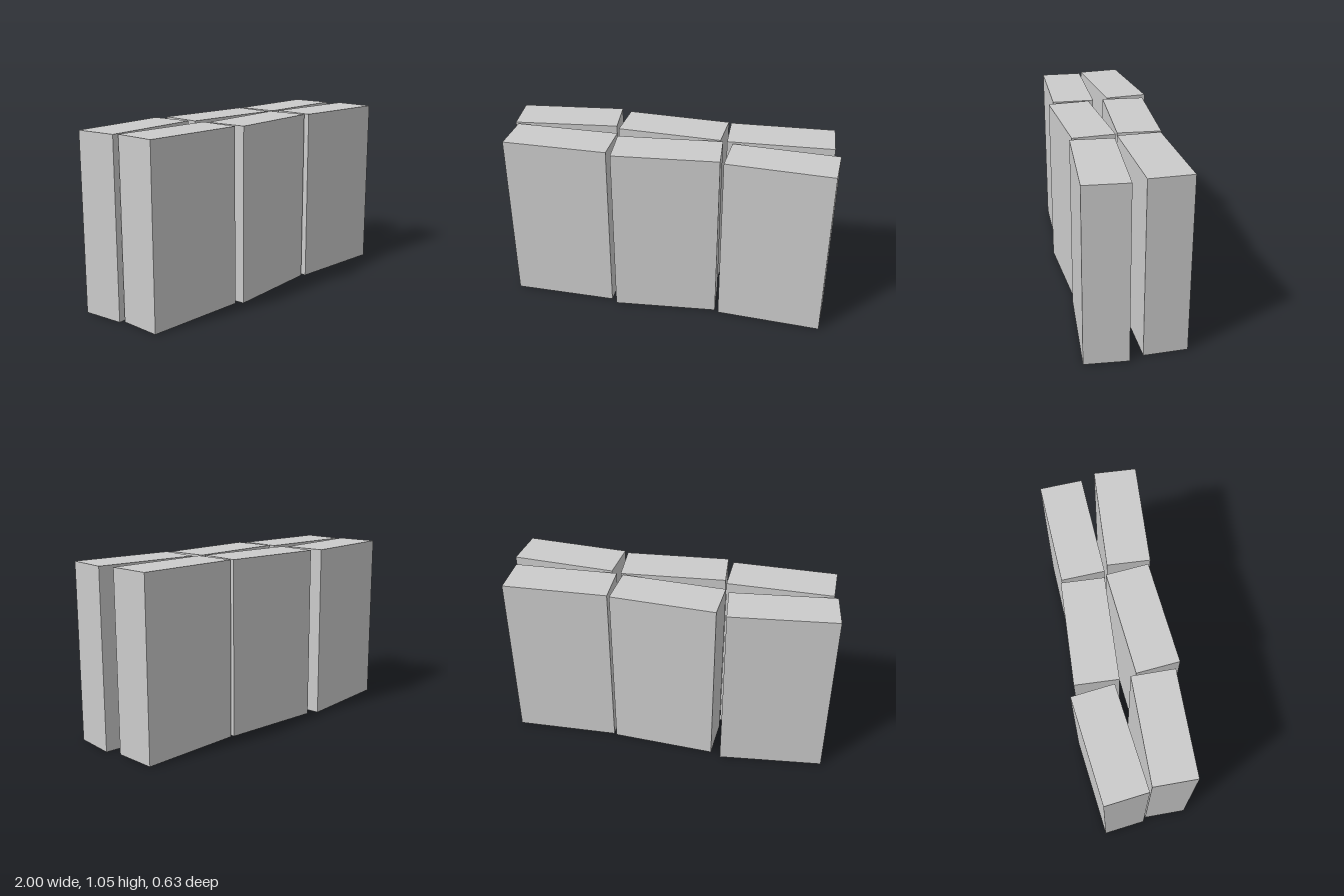
import * as THREE from 'three';

const WIDTH = 0.626, HEIGHT = 1.055, DEPTH = 0.255;

// Two rows of upright blocks, each turned slightly: [name, x, z, turn about y]
const BLOCKS = [
  ['backRightBlock', -0.674, -0.152, 0.124],
  ['backMiddleBlock', -0.009, -0.149, -0.038],
  ['backLeftBlock', 0.644, -0.147, 0.054],
  ['frontRightBlock', -0.632, 0.157, 0],
  ['frontMiddleBlock', 0.016, 0.159, 0.098],
  ['frontLeftBlock', 0.681, 0.159, -0.046],
];

export function createModel() {
  const group = new THREE.Group();
  group.name = 'blockRows';

  const grey = new THREE.MeshStandardMaterial({ color: 0xcccccc });
  grey.name = 'lightGrey';

  // One shared block, standing on the ground
  const geometry = new THREE.BoxGeometry(WIDTH, HEIGHT, DEPTH);
  geometry.translate(0, HEIGHT / 2, 0);

  for (const [name, x, z, turn] of BLOCKS) {
    const block = new THREE.Mesh(geometry, grey);
    block.name = name;
    block.position.set(x, 0, z);
    block.rotation.y = turn;
    group.add(block);
  }
  return group;
}
